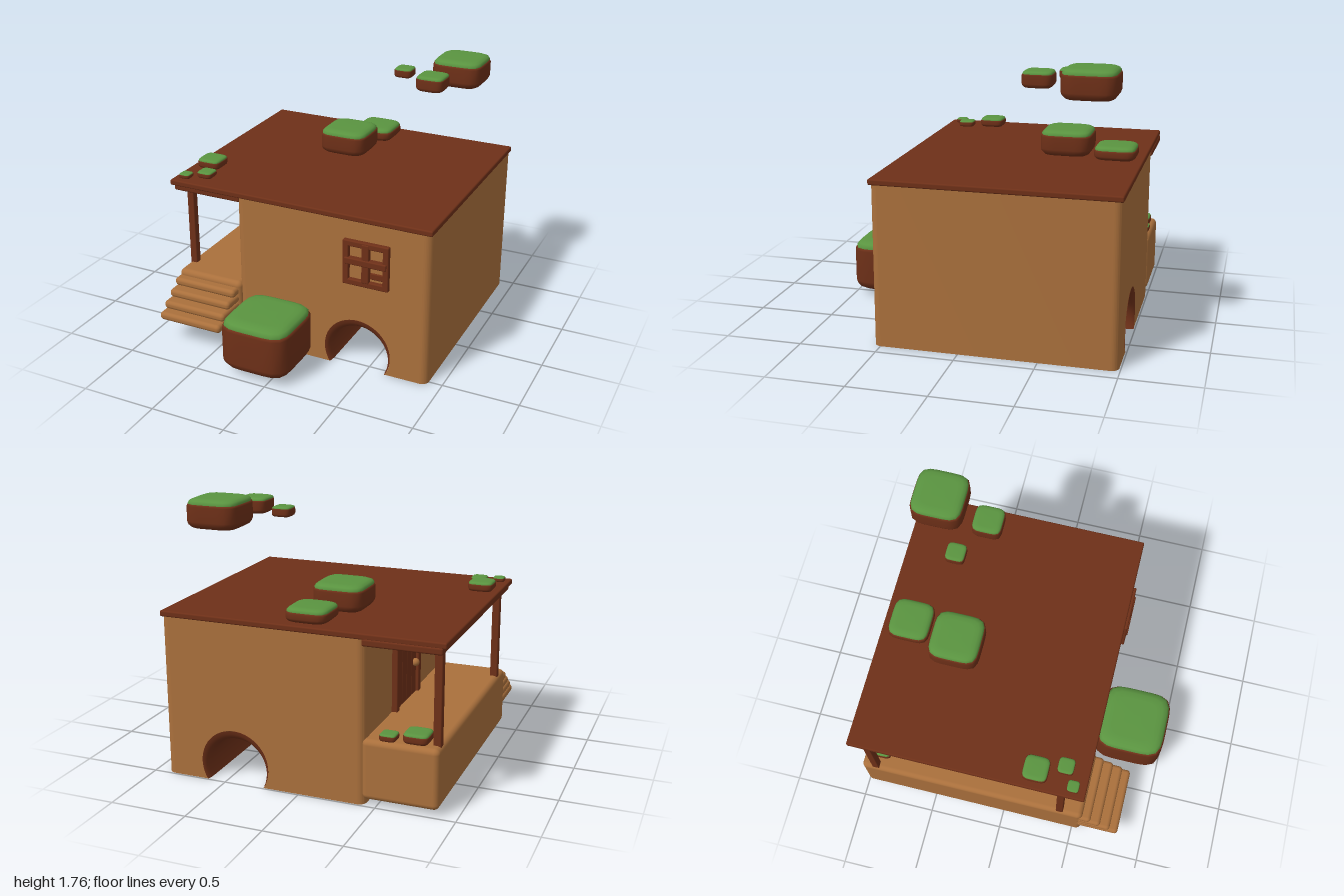
import * as THREE from 'three';
import { toCreasedNormals } from 'three/addons/utils/BufferGeometryUtils.js';
import { RoundedBoxGeometry } from 'three/addons/geometries/RoundedBoxGeometry.js';

const material = (color) => new THREE.MeshStandardMaterial({ color });
const clay = material(0xaa703c);
const wood = material(0x6e3018);
const grass = material(0x5a9440);
const liner = material(0x6e3018);
liner.side = THREE.DoubleSide;

function add(parent, name, geometry, mat) {
  const mesh = new THREE.Mesh(geometry, mat);
  mesh.name = name;
  parent.add(mesh);
  return mesh;
}

// Softly rounded box given by its limits
function block(parent, name, [x0, x1], [y0, y1], [z0, z1], mat, radius = 0.008) {
  const geo = new RoundedBoxGeometry(x1 - x0, y1 - y0, z1 - z0, 3, radius);
  geo.translate((x0 + x1) / 2, (y0 + y1) / 2, (z0 + z1) / 2);
  return add(parent, name, geo, mat);
}

// Skin through equal-length rings of points
function loft(rings, closed) {
  const n = rings[0].length, index = [];
  for (let r = 0; r < rings.length - 1; r++) {
    for (let i = 0; i < (closed ? n : n - 1); i++) {
      const a = r * n + i, b = r * n + (i + 1) % n;
      index.push(a, a + n, b, b, a + n, b + n);
    }
  }
  const geo = new THREE.BufferGeometry();
  geo.setAttribute('position', new THREE.Float32BufferAttribute(rings.flat(2), 3));
  geo.setIndex(index);
  geo.computeVertexNormals();
  return geo;
}

// Rounded-square stack of rings from [height, scale] rows
function pillow(rows, half) {
  const n = 32;
  return loft(rows.map(([y, s]) => Array.from({ length: n }, (_, i) => {
    const t = (i / n) * Math.PI * 2, c = Math.cos(t), d = Math.sin(t);
    const r = s * half / Math.pow(Math.abs(c) ** 5 + Math.abs(d) ** 5, 0.2);
    return [r * c, y, r * d];
  })), true);
}

// Boulder of earth with a domed grass cap
function mossyRock(parent, x, z, width, y0, y1) {
  const group = new THREE.Group();
  group.name = 'grassyRock';
  group.position.set(x, y0, z);
  const h = y1 - y0, cap = Math.min(width * 0.13, h * 0.4), e = h - cap;
  const b = Math.min(width * 0.13, h * 0.3);
  add(group, 'earth', pillow([[0, 0.001], [0, 0.8], [b * 0.2, 0.89], [b * 0.55, 0.96],
    [b, 1], [e, 1], [e + cap * 0.25, 0.97], [e + cap * 0.3, 0.9]], width / 2), wood);
  add(group, 'grassCap', pillow([[e + cap * 0.1, 0.95], [e + cap * 0.45, 0.96],
    [e + cap * 0.75, 0.9], [e + cap * 0.95, 0.78], [h, 0.6], [h, 0.001]], width / 2), grass);
  parent.add(group);
}

// House walls: arched core plus two sides with rounded upright edges
function buildWalls(house) {
  const x0 = -0.43, x1 = 0.91, z0 = -0.99, z1 = 0.545, top = 1.04, r = 0.05;
  const cx = 0.43, cy = 0.12, mouth = 0.228;
  const a = Math.asin(cy / mouth);
  const front = new THREE.Shape();
  front.moveTo(x0 + r, 0);
  front.lineTo(cx - mouth * Math.cos(a), 0);
  front.absarc(cx, cy, mouth, Math.PI + a, -a, true);
  front.lineTo(x1 - r, 0);
  front.lineTo(x1 - r, top);
  front.lineTo(x0 + r, top);
  const core = new THREE.ExtrudeGeometry(front, { depth: z1 - z0, bevelEnabled: false, curveSegments: 32 });
  core.translate(0, 0, z0);
  add(house, 'archedWall', toCreasedNormals(core, 0.6), clay);

  for (const [edge, dir] of [[x0, -1], [x1, 1]]) {
    const inner = edge - dir * r, plan = new THREE.Shape();
    plan.moveTo(inner, -z1);
    plan.absarc(inner, -z1 + r, r, -Math.PI / 2, dir > 0 ? 0 : -Math.PI, dir < 0);
    plan.absarc(inner, -z0 - r, r, dir > 0 ? 0 : Math.PI, Math.PI / 2, dir < 0);
    const side = new THREE.ExtrudeGeometry(plan, { depth: top, bevelEnabled: false, curveSegments: 8 });
    side.rotateX(-Math.PI / 2);
    add(house, 'sideWall', toCreasedNormals(side, 0.6), clay);
  }

  // Tunnel lining with a flared mouth at each end
  const flare = [[0, 0], [0.006, 0.35], [0.02, 0.68], [0.04, 0.9], [0.07, 1]];
  const rows = [...flare.map(([d, t]) => [z1 + 0.002 - d, t]),
    ...flare.map(([d, t]) => [z0 - 0.002 + d, t]).reverse()];
  const rings = rows.map(([z, t]) => {
    const rad = mouth - 0.028 * t, y = cy - 0.04 * t, s = Math.asin(y / rad);
    return Array.from({ length: 41 }, (_, i) => {
      const q = -s + (Math.PI + 2 * s) * i / 40;
      return [cx + rad * Math.cos(q), Math.max(0, y + rad * Math.sin(q)), z];
    });
  });
  add(house, 'tunnelLining', loft(rings, false), liner);
}

function buildWindow(house) {
  const g = new THREE.Group();
  g.name = 'window';
  for (const x of [0.335, 0.605]) block(g, 'windowStile', [x, x + 0.04], [0.61, 0.915], [0.53, 0.573], wood);
  for (const y of [0.61, 0.875]) block(g, 'windowRail', [0.335, 0.645], [y, y + 0.04], [0.53, 0.573], wood);
  block(g, 'verticalBar', [0.465, 0.515], [0.64, 0.905], [0.53, 0.577], wood);
  block(g, 'crossBar', [0.35, 0.632], [0.755, 0.8], [0.53, 0.582], wood);
  block(g, 'paneBlock', [0.515, 0.61], [0.665, 0.71], [0.53, 0.553], wood);
  house.add(g);
}

function buildDoor(house) {
  const g = new THREE.Group();
  g.name = 'door';
  for (const z of [-0.51, -0.09]) block(g, 'doorJamb', [-0.468, -0.42], [0.41, 0.89], [z, z + 0.05], wood);
  block(g, 'doorLintel', [-0.468, -0.42], [0.84, 0.89], [-0.51, -0.04], wood);
  for (let i = 0; i < 4; i++) {
    const z = -0.46 + i * 0.0925;
    block(g, 'doorPlank', [-0.45, -0.42], [0.42, 0.845], [z, z + 0.0915], wood);
  }
  const knob = add(g, 'doorKnob', new THREE.SphereGeometry(0.026, 16, 12), clay);
  knob.position.set(-0.462, 0.64, -0.14);
  house.add(g);
}

export function createModel() {
  const house = new THREE.Group();
  house.name = 'house';
  buildWalls(house);
  buildWindow(house);
  buildDoor(house);

  // Roof and the board over the porch
  block(house, 'roof', [-0.92, 0.915], [1.037, 1.075], [-0.995, 0.555], wood, 0.01);
  block(house, 'porchCeiling', [-0.9, -0.41], [1, 1.045], [-1, 0.54], wood, 0.012);

  // Porch, posts and steps
  block(house, 'porch', [-0.89, -0.41], [0.04, 0.425], [-0.998, 0.56], clay, 0.035);
  for (const z of [-0.9, 0.4]) block(house, 'porchPost', [-0.88, -0.83], [0.41, 1.02], [z - 0.025, z + 0.025], wood);
  [0.62, 0.69, 0.76, 0.82].forEach((z, i) => {
    const y = 0.33 - i * 0.054;
    block(house, 'step', [-0.89, -0.43], [y, y + 0.056], [0.5, z], clay, 0.024);
  });

  // Rocks: x, z, width, bottom, top
  const rocks = [
    [-0.105, 0.762, 0.475, 0.045, 0.39],
    [-0.102, -0.478, 0.336, 1.073, 1.24],
    [-0.027, -0.81, 0.274, 1.073, 1.163],
    [0.605, -0.743, 0.338, 1.58, 1.76],
    [0.523, -0.41, 0.19, 1.615, 1.715],
    [0.27, -0.552, 0.124, 1.63, 1.692],
    [-0.796, 0.217, 0.164, 1.073, 1.136],
    [-0.732, 0.397, 0.106, 1.073, 1.115],
    [-0.848, 0.468, 0.077, 1.073, 1.104],
    [-0.73, -0.89, 0.16, 0.423, 0.487],
    [-0.563, -0.93, 0.105, 0.423, 0.467],
  ];
  for (const r of rocks) mossyRock(house, ...r);
  return house;
}
